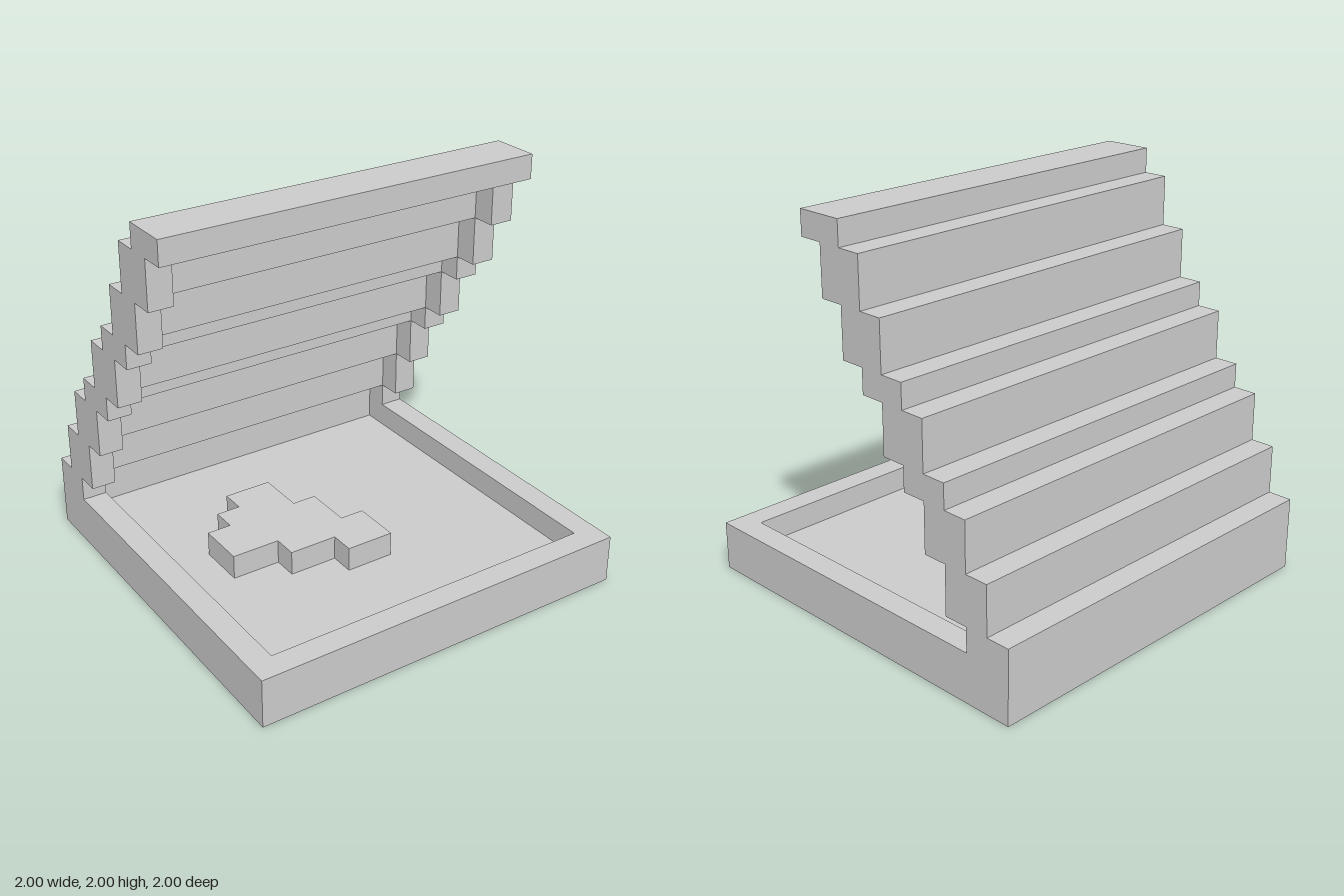
import * as THREE from 'three';

const U = 0.125; // one block
const material = new THREE.MeshStandardMaterial({ color: 0xcccccc, flatShading: true });

function add(group, name, geometry) {
  const mesh = new THREE.Mesh(geometry, material);
  mesh.name = name;
  group.add(mesh);
}

// Box from its minimum and maximum corners, in blocks
function box([x0, y0, z0], [x1, y1, z1]) {
  return new THREE.BoxGeometry((x1 - x0) * U, (y1 - y0) * U, (z1 - z0) * U)
    .translate((x0 + x1) / 2 * U, (y0 + y1) / 2 * U, (z0 + z1) / 2 * U);
}

const toPoints = (pts) => pts.map(([a, b]) => new THREE.Vector2(a * U, b * U));
const square = (r) => [[-r, -r], [r, -r], [r, r], [-r, r]];

function extrude(pts, blocks, hole) {
  const shape = new THREE.Shape(toPoints(pts));
  if (hole) shape.holes.push(new THREE.Path(toPoints(hole)));
  return new THREE.ExtrudeGeometry(shape, { depth: blocks * U, bevelEnabled: false });
}

// Plan outline (x, z) extruded downwards from the given top
const slab = (pts, top, blocks, hole) =>
  extrude(pts, blocks, hole).rotateX(Math.PI / 2).translate(0, top * U, 0);

export function createModel() {
  const model = new THREE.Group();
  model.name = 'openBox';

  // Tray: raised rim around a sunken floor
  const tray = new THREE.Group();
  tray.name = 'tray';
  add(tray, 'trayRim', slab(square(8), 2, 2, square(7)));
  add(tray, 'trayFloor', box([-7, 0, -7], [7, 1, 7]));
  model.add(tray);

  // Blocky piece lying on the tray floor
  add(model, 'trayPiece', slab([
    [-1, 3], [1, 3], [1, 1], [0, 1], [0, -1], [-1, -1], [-1, -3], [-3, -3],
    [-3, -2], [-4, -2], [-4, -1], [-5, -1], [-5, 1], [-3, 1], [-3, 2], [-1, 2],
  ], 2, 1));

  // Lid: each step up moves one block forward
  const lid = new THREE.Group();
  lid.name = 'lid';
  const heights = [2, 3, 5, 7, 8, 10, 11, 13, 15, 16];
  const front = [], back = [];
  for (let i = 0; i < heights.length - 1; i++) {
    const z = i - 8, y0 = heights[i], y1 = heights[i + 1];
    front.push([z + 2, y0], [z + 2, y1]);
    back.push([z, y0], [z, y1]);
    // The panel is one block thick; the top step is the full-depth front rim
    const isTop = y1 === 16;
    add(lid, isTop ? 'lidFrontRim' : 'lidPanelStep', box([-7, y0, z], [7, y1, z + (isTop ? 2 : 1)]));
  }
  // Stepped side rims
  const profile = [...front, ...back.reverse()];
  for (const [name, x] of [['lidLeftRim', 8], ['lidRightRim', -7]]) {
    add(lid, name, extrude(profile, 1).rotateY(-Math.PI / 2).translate(x * U, 0, 0));
  }
  model.add(lid);

  return model;
}
